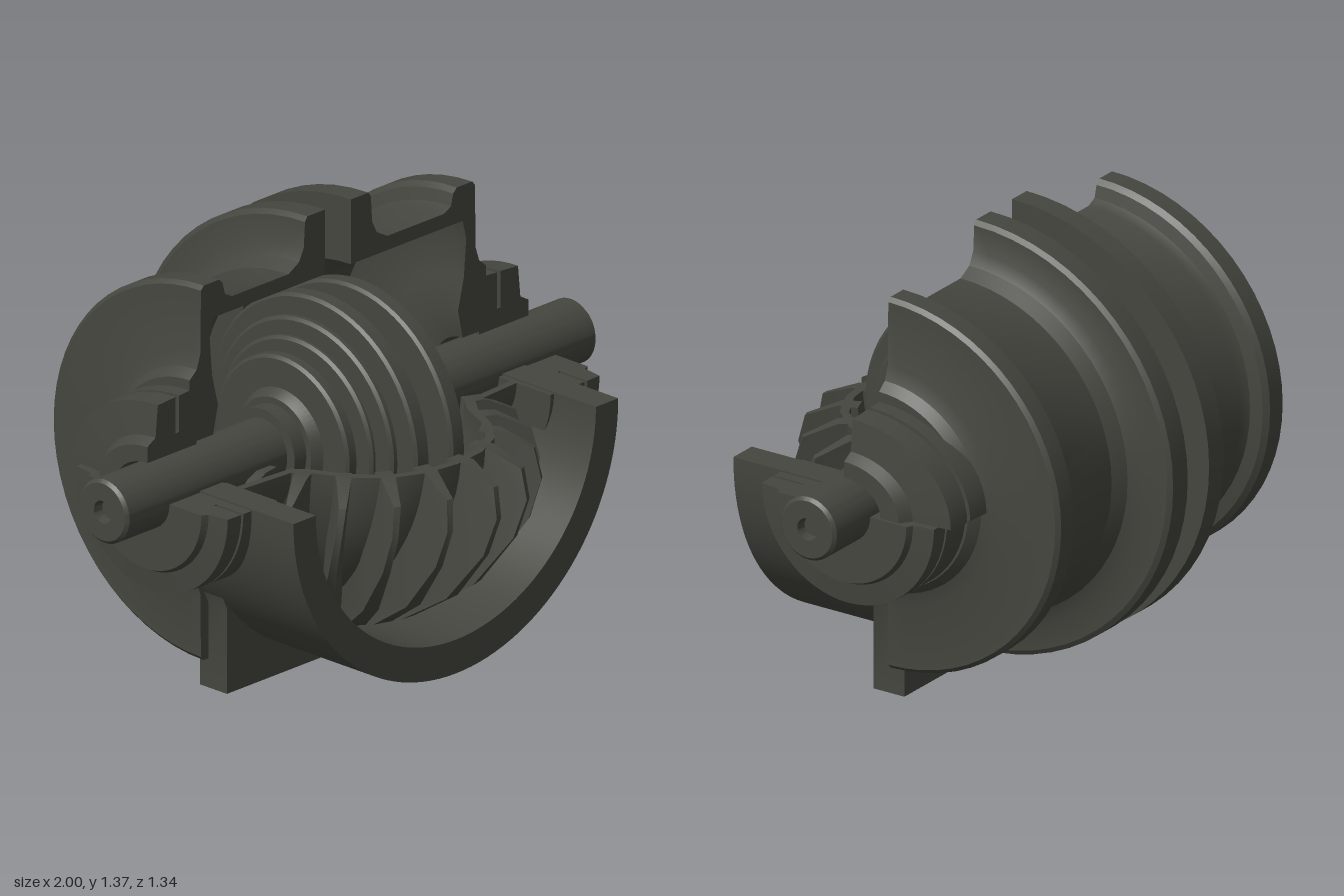
import * as THREE from 'three';
import { toCreasedNormals } from 'three/addons/utils/BufferGeometryUtils.js';

const AXIS_Y = 0.685, AXIS_Z = 0.04; // main shaft line, running along x
const PI = Math.PI;

export function createModel() {
  const model = new THREE.Group();
  const iron = new THREE.MeshStandardMaterial({ color: 0x464640, side: THREE.DoubleSide });
  iron.name = 'dark iron';

  const add = (name, geometry, parent, crease = 0.5) => {
    const mesh = new THREE.Mesh(toCreasedNormals(geometry, crease), iron);
    mesh.name = name;
    parent.add(mesh);
    return mesh;
  };

  // Everything that turns about the shaft line
  const axisGroup = new THREE.Group();
  axisGroup.name = 'turnedParts';
  axisGroup.position.set(0, AXIS_Y, AXIS_Z);
  model.add(axisGroup);

  // Revolve a closed [x, radius] profile about x, with flat cut faces.
  // Angle 0 is the front, PI/2 the bottom, PI the back, 3PI/2 the top.
  function revolve(name, profile, start = 0, sweep = 2 * PI, side = 1) {
    const pts = profile.map(([x, r]) => new THREE.Vector2(r, x * side));
    const geo = new THREE.LatheGeometry([...pts, pts[0].clone()], Math.ceil(sweep * 10), start, sweep);
    geo.rotateZ(-PI / 2);
    const part = new THREE.Group();
    part.name = name;
    axisGroup.add(part);
    add(name + 'Body', geo, part);
    if (sweep < 2 * PI - 0.01) {
      const shape = new THREE.Shape(pts.map(p => new THREE.Vector2(p.y, p.x)));
      for (const a of [start, start + sweep]) {
        const cap = new THREE.ShapeGeometry(shape);
        cap.rotateX(a + PI / 2);
        add(name + 'CutFace', cap, part);
      }
    }
    return part;
  }

  // Rear casing half: tall inner flange, waist, outer flange and end wall
  const casing = [
    [0.055, 0.48], [0.055, 0.685], [0.13, 0.685], [0.14, 0.67], [0.145, 0.59], [0.165, 0.55], [0.21, 0.525],
    [0.45, 0.525], [0.48, 0.54], [0.49, 0.578], [0.505, 0.593], [0.57, 0.593], [0.582, 0.58],
    [0.585, 0.38], [0.6, 0.335], [0.63, 0.31], [0.63, 0.11], [0.53, 0.11], [0.51, 0.2],
    [0.535, 0.3], [0.545, 0.42], [0.53, 0.48],
  ];
  // Bearing housings: low cradle and smaller upper cap, each with a groove
  const cradle = [
    [0.58, 0.1], [0.58, 0.31], [0.725, 0.31], [0.725, 0.2], [0.735, 0.2], [0.735, 0.31],
    [0.79, 0.308], [0.8, 0.24], [0.82, 0.23], [0.82, 0.1],
  ];
  const cap = [
    [0.6, 0.1], [0.6, 0.28], [0.675, 0.275], [0.675, 0.16], [0.69, 0.16], [0.69, 0.275],
    [0.765, 0.27], [0.775, 0.17], [0.81, 0.15], [0.81, 0.1],
  ];
  for (const side of [1, -1]) {
    revolve('rearCasing', casing, PI / 2, PI, side).scale.z = 1.03;
    revolve('bearingCradle', cradle, 0, PI, side);
    revolve('bearingCap', cap, PI, PI / 2, side).scale.z = 1.3;
  }

  // Shaft with a thicker middle and centre-drilled ends
  revolve('shaft', [
    [-0.97, 0], [-0.97, 0.03], [-1, 0.035], [-1, 0.09], [-0.99, 0.1], [-0.32, 0.1], [-0.32, 0.13],
    [-0.04, 0.13], [-0.04, 0.145], [0.04, 0.145], [0.04, 0.13], [0.32, 0.13], [0.32, 0.1],
    [0.99, 0.1], [1, 0.09], [1, 0.035], [0.97, 0.03], [0.97, 0],
  ]);

  // Stepped discs on each side of the middle: [inner x, outer x, radius]
  const discs = [[0.045, 0.105, 0.42], [0.115, 0.145, 0.36], [0.155, 0.18, 0.31], [0.195, 0.24, 0.27]];
  for (const side of [1, -1]) {
    for (const [a, b, r] of discs) {
      revolve('disc', [[a, 0.1], [a, r - 0.01], [a + 0.008, r], [b - 0.008, r], [b, r - 0.01], [b, 0.1]], 0, 2 * PI, side);
    }
    revolve('discHub', [[0.04, 0.1], [0.04, 0.22], [0.2, 0.2], [0.27, 0.15], [0.27, 0.1]], 0, 2 * PI, side);
  }

  // Thin bowl around the lower front of the discs, with sleeves out to the bearings
  const half = [[0.6, 0.145], [0.37, 0.16], [0.33, 0.21], [0.285, 0.31], [0.21, 0.4], [0.11, 0.45]];
  const curve = [...half, [0, 0.465], ...half.map(([x, r]) => [-x, r]).reverse()];
  const outer = curve.map(([x, r]) => [x * (Math.abs(x) < 0.5 ? 1.06 : 1), r + 0.025]).reverse();
  revolve('bowl', [...curve, ...outer], 0, PI / 2);

  // Tapered, slightly twisted blades fanned around the bowl
  const bladeShape = new THREE.Shape([
    [0.44, 0], [0.5, 0], [0.61, -0.05], [0.635, -0.14], [0.6, -0.26], [0.48, -0.42], [0.3, -0.535], [0.1, -0.56],
    [0.1, -0.46], [0.28, -0.39], [0.41, -0.22],
  ].map(p => new THREE.Vector2(...p)));
  const blades = new THREE.Group();
  blades.name = 'blades';
  blades.position.set(0, AXIS_Y, AXIS_Z);
  model.add(blades);
  const COUNT = 11;
  for (let i = 0; i < COUNT; i++) {
    const angle = (i / (COUNT - 1) - 0.5) * 2.8;
    const reach = 1 - 0.08 * Math.abs(Math.sin(angle));
    const geo = new THREE.ExtrudeGeometry(bladeShape, { depth: 1, bevelEnabled: false });
    const pos = geo.attributes.position;
    for (let k = 0; k < pos.count; k++) {
      const r = pos.getX(k), y = pos.getY(k);
      const thick = 0.012 + 0.13 * Math.max(0, 0.62 - r) * Math.min(1, r * 2);
      const t = (pos.getZ(k) - 0.5) * thick * 1.6;
      const a = angle + 0.25 * (y + 0.28);
      pos.setXYZ(k, r * reach * Math.sin(a) + t * Math.cos(a), y, r * reach * Math.cos(a) - t * Math.sin(a));
    }
    add('blade', geo, blades, 0.6);
  }

  // Open half-pipe at the lower front
  const pipe = new THREE.Shape();
  pipe.absellipse(0, 0, 0.69, 0.672, PI, 2 * PI, false);
  pipe.absellipse(0, 0, 0.595, 0.565, 2 * PI, PI, true);
  const pipeGeo = new THREE.ExtrudeGeometry(pipe, { depth: 0.51, bevelEnabled: false, curveSegments: 32 });
  add('halfPipe', pipeGeo, model).position.set(0, 0.69, 0.01);

  // Foot plate beneath the half-pipe, hollowed to its curve
  const foot = new THREE.Shape();
  foot.moveTo(-0.55, 0);
  foot.lineTo(0.55, 0);
  foot.lineTo(0.55, 0.27);
  foot.lineTo(0.6, 0.38);
  foot.absarc(0, 0.69, 0.55, -0.5, -PI + 0.5, true);
  foot.lineTo(-0.6, 0.38);
  foot.lineTo(-0.55, 0.27);
  const footGeo = new THREE.ExtrudeGeometry(foot, { depth: 0.11, bevelEnabled: false, curveSegments: 24 });
  add('footPlate', footGeo, model).position.z = 0.005;

  return model;
}
